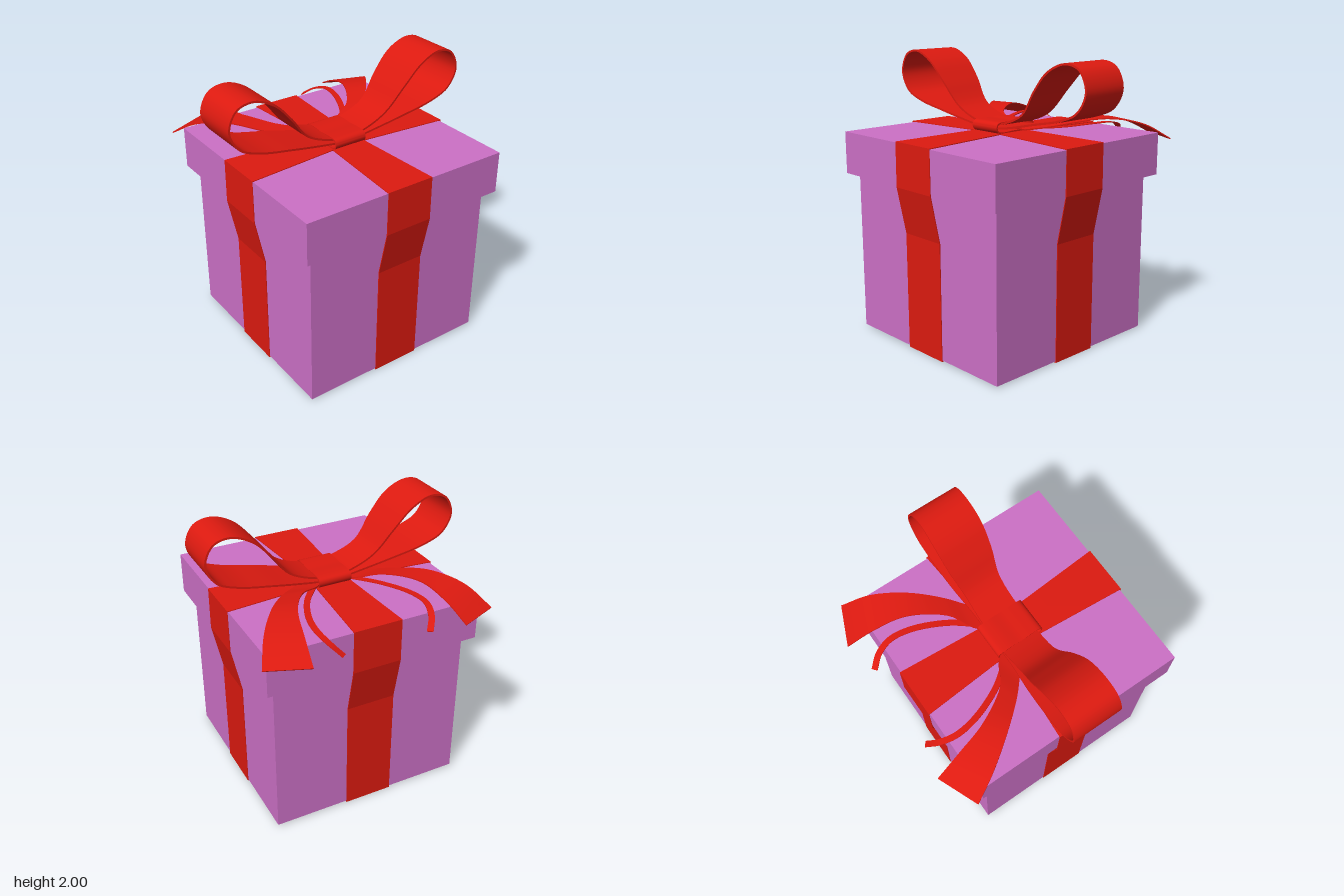
import * as THREE from 'three';
import { toCreasedNormals } from 'three/addons/utils/BufferGeometryUtils.js';

const V = (x, y, z) => new THREE.Vector3(x, y, z);
const boxX = 0.0875; // middle of the box
const bowX = 0.0675; // middle of the bow

const pink = new THREE.MeshStandardMaterial({ color: 0xcc70c6 });
const red = new THREE.MeshStandardMaterial({ color: 0xdd1a10, side: THREE.DoubleSide });

function add(group, name, geometry, material) {
  const mesh = new THREE.Mesh(geometry, material);
  mesh.name = name;
  group.add(mesh);
  return mesh;
}

// Thin solid ribbon through stations [leftEdge, rightEdge]
function ribbon(stations, thickness, closed, crease) {
  const n = stations.length;
  const mid = stations.map(([l, r]) => l.clone().add(r).multiplyScalar(0.5));
  const rings = stations.map(([l, r], i) => {
    const before = closed ? mid[(i + n - 1) % n] : mid[Math.max(i - 1, 0)];
    const after = closed ? mid[(i + 1) % n] : mid[Math.min(i + 1, n - 1)];
    const up = r.clone().sub(l).cross(after.clone().sub(before)).setLength(thickness / 2);
    return [l.clone().add(up), r.clone().add(up), r.clone().sub(up), l.clone().sub(up)];
  });
  const points = [];
  const quad = (a, b, c, d) => points.push(a, b, c, a, c, d);
  for (let i = 0; i < (closed ? n : n - 1); i++) {
    const p = rings[i], q = rings[(i + 1) % n];
    for (let k = 0; k < 4; k++) {
      const m = (k + 1) % 4;
      quad(p[k], p[m], q[m], q[k]);
    }
  }
  if (!closed) {
    const e = rings[n - 1];
    quad(rings[0][3], rings[0][2], rings[0][1], rings[0][0]);
    quad(e[0], e[1], e[2], e[3]);
  }
  return toCreasedNormals(new THREE.BufferGeometry().setFromPoints(points), crease);
}

const smooth = (pts, count, closed = false) =>
  new THREE.CatmullRomCurve3(pts.map(p => V(...p)), closed, 'centripetal').getPoints(count);

export function createModel() {
  const model = new THREE.Group();
  model.name = 'giftBox';

  // Box and lid
  add(model, 'box', new THREE.BoxGeometry(1.426, 1.15, 1.426), pink).position.set(boxX, 0.585, 0);
  add(model, 'lid', new THREE.BoxGeometry(1.556, 0.3, 1.556), pink).position.set(boxX, 1.31, 0);

  // Two bands around the box: distance from the middle, height, half width
  const half = [
    [0, 1.475, 0.12], [0.785, 1.466, 0.177], [0.785, 1.16, 0.177],
    [0.716, 0.83, 0.177], [0.716, 0.003, 0.177], [0, 0.003, 0.177],
  ];
  const loop = [...half, ...half.slice(1, -1).reverse().map(([u, y, w]) => [-u, y, w])];
  add(model, 'sideToSideBand', ribbon(loop.map(([u, y, w]) =>
    [V(boxX + u, y, w), V(boxX + u, y, -w)]), 0.006, true, 0.1), red);
  add(model, 'frontToBackBand', ribbon(loop.map(([u, y, w]) =>
    [V(boxX - w, y, u), V(boxX + w, y, u)]), 0.006, true, 0.1), red);

  const bow = new THREE.Group();
  bow.name = 'bow';
  model.add(bow);

  // Bow loop: half width, height, distance from the middle
  const loopPath = smooth([
    [0.135, 1.53, 0], [0.135, 1.545, 0.13], [0.135, 1.625, 0.32], [0.165, 1.795, 0.46],
    [0.177, 1.93, 0.59], [0.175, 1.992, 0.74], [0.176, 1.96, 0.86], [0.178, 1.83, 0.916],
    [0.178, 1.70, 0.85], [0.176, 1.635, 0.71], [0.165, 1.58, 0.46], [0.14, 1.525, 0.2],
    [0.135, 1.495, 0],
  ], 72);

  // Wide tail edges and narrow tail middle line, front side
  const inner = smooth([[0.02, 1.49, 0.04], [-0.12, 1.51, 0.14], [-0.22, 1.545, 0.30],
    [-0.46, 1.567, 0.45], [-0.68, 1.515, 0.51], [-0.88, 1.42, 0.55]], 32);
  const outer = smooth([[0.03, 1.49, 0.18], [-0.08, 1.515, 0.32], [-0.19, 1.545, 0.44],
    [-0.365, 1.572, 0.59], [-0.57, 1.53, 0.735], [-0.76, 1.415, 0.835]], 32);
  const thin = smooth([[0.02, 1.485, 0.06], [-0.12, 1.488, 0.19], [-0.25, 1.493, 0.285],
    [-0.47, 1.505, 0.378], [-0.63, 1.50, 0.40], [-0.74, 1.465, 0.37], [-0.82, 1.405, 0.312]], 32);

  for (const [side, s] of [['front', 1], ['back', -1]]) {
    const flip = p => V(p.x, p.y, s * p.z);
    add(bow, side + 'Loop', ribbon(loopPath.map(p =>
      [V(bowX - p.x, p.y, s * p.z), V(bowX + p.x, p.y, s * p.z)]), 0.014, false, 0.6), red);
    add(bow, side + 'WideTail', ribbon(inner.map((p, i) =>
      [flip(p), flip(outer[i])]), 0.008, false, 0.6), red);
    add(bow, side + 'NarrowTail', ribbon(thin.map((p, i) => {
      const t = thin[Math.min(i + 1, 32)].clone().sub(thin[Math.max(i - 1, 0)]);
      const across = V(-t.z, 0, t.x).setLength(0.021);
      return [flip(p.clone().sub(across)), flip(p.clone().add(across))];
    }), 0.006, false, 0.6), red);
  }

  // Knot: flat ring of ribbon wrapped around the middle
  const ring = smooth([
    [-0.165, 1.538, 0], [-0.09, 1.55, 0], [0, 1.546, 0], [0.09, 1.55, 0], [0.16, 1.543, 0],
    [0.173, 1.515, 0], [0.155, 1.485, 0], [0, 1.482, 0], [-0.155, 1.485, 0], [-0.173, 1.51, 0],
  ], 48, true).slice(0, -1);
  add(bow, 'knot', ribbon(ring.map(p =>
    [V(bowX + p.x, p.y, 0.123), V(bowX + p.x, p.y, -0.123)]), 0.01, true, 0.6), red);

  return model;
}
